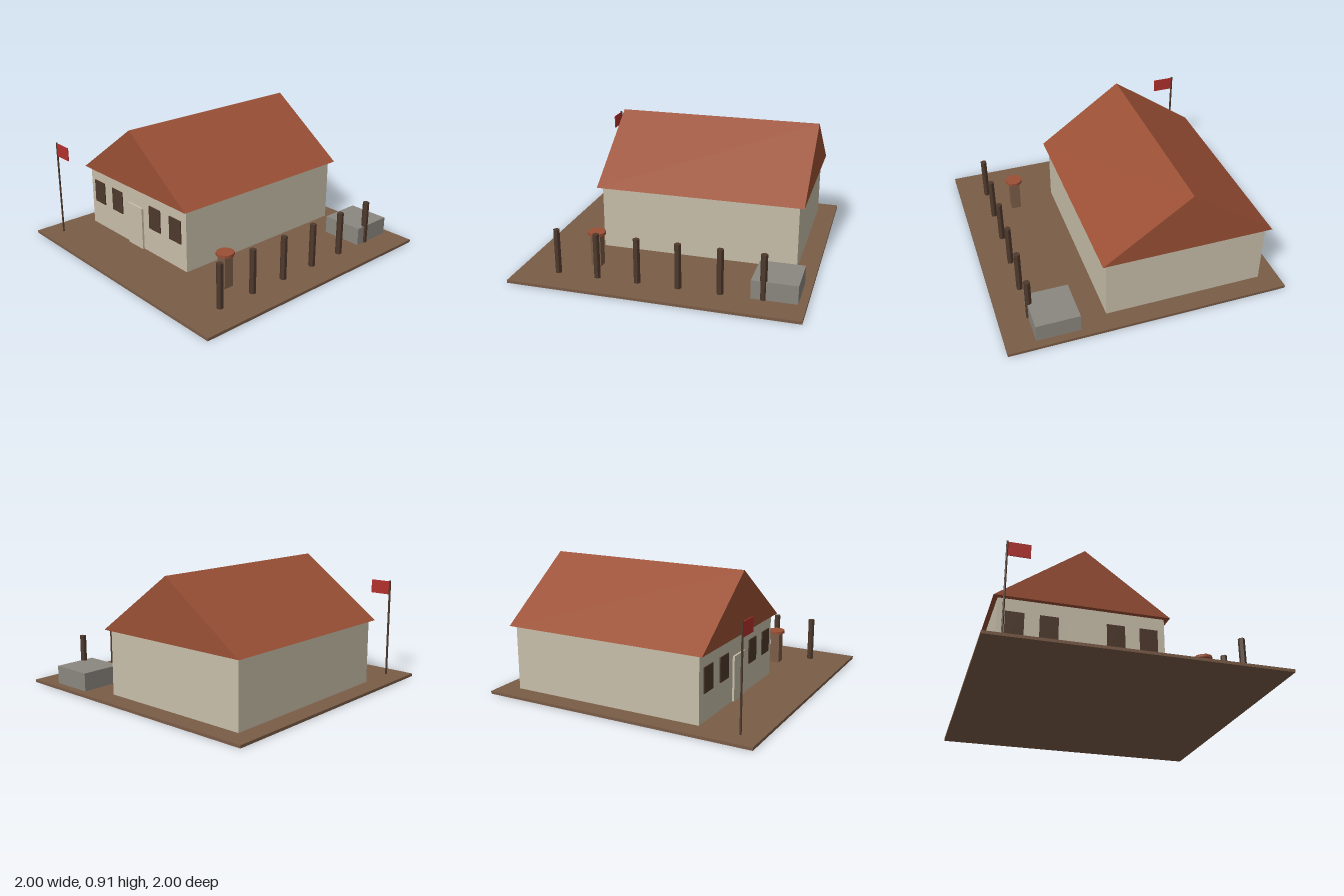
import * as THREE from 'three';

const mat = (name, color, extra = {}) => {
  const m = new THREE.MeshStandardMaterial({ color, ...extra });
  m.name = name;
  return m;
};

export function createModel() {
  const model = new THREE.Group();
  const plaster = mat('plaster', 0xc8bea9);
  const tile = mat('roofTile', 0x9b5035);
  const earth = mat('earth', 0x7a5c47);
  const wood = mat('darkWood', 0x4e392c, { flatShading: true });
  const stone = mat('greyStone', 0x8b8780);
  const red = mat('flagRed', 0xb2302c);
  const G = 0.02; // ground level

  const add = (name, geometry, material, x, y, z) => {
    const mesh = new THREE.Mesh(geometry, material);
    mesh.name = name;
    mesh.position.set(x, y, z);
    model.add(mesh);
    return mesh;
  };
  // box given by its limits on each axis
  const box = (name, material, x0, x1, y0, y1, z0, z1) =>
    add(name, new THREE.BoxGeometry(x1 - x0, y1 - y0, z1 - z0), material,
      (x0 + x1) / 2, (y0 + y1) / 2, (z0 + z1) / 2);

  box('ground', earth, -1, 1, 0, G, -1, 1);

  // house
  box('walls', plaster, -0.86, 0.285, G, 0.482, -0.857, 0.573);
  const gable = new THREE.Shape([
    new THREE.Vector2(-0.605, 0),
    new THREE.Vector2(0.605, 0),
    new THREE.Vector2(0, 0.432),
  ]);
  add('roof', new THREE.ExtrudeGeometry(gable, { depth: 1.5, bevelEnabled: false }),
    tile, -0.287, 0.482, -0.892);
  box('door', plaster, -0.373, -0.202, G, 0.34, 0.57, 0.588);
  for (const x of [-0.744, -0.515, -0.06, 0.17])
    box('window', wood, x - 0.063, x + 0.063, 0.215, 0.388, 0.575, 0.583);

  // row of fence posts
  for (let i = 0; i < 6; i++)
    add('fencePost', new THREE.CylinderGeometry(0.0235, 0.0235, 0.318, 6), wood,
      0.786, G + 0.159, -0.715 + i * 0.286);

  // pedestal with a round cap
  box('pedestal', earth, 0.561, 0.633, G, 0.252, 0.464, 0.536);
  add('pedestalCap', new THREE.CylinderGeometry(0.063, 0.063, 0.02, 10), tile, 0.597, 0.262, 0.5);

  box('stoneBlock', stone, 0.488, 0.796, G, 0.15, -0.943, -0.633);

  // flag
  add('flagPole', new THREE.CylinderGeometry(0.0075, 0.0075, 0.715, 6), wood, -0.858, G + 0.3575, 0.857);
  box('flag', red, -0.856, -0.705, 0.632, 0.73, 0.854, 0.86);

  return model;
}
